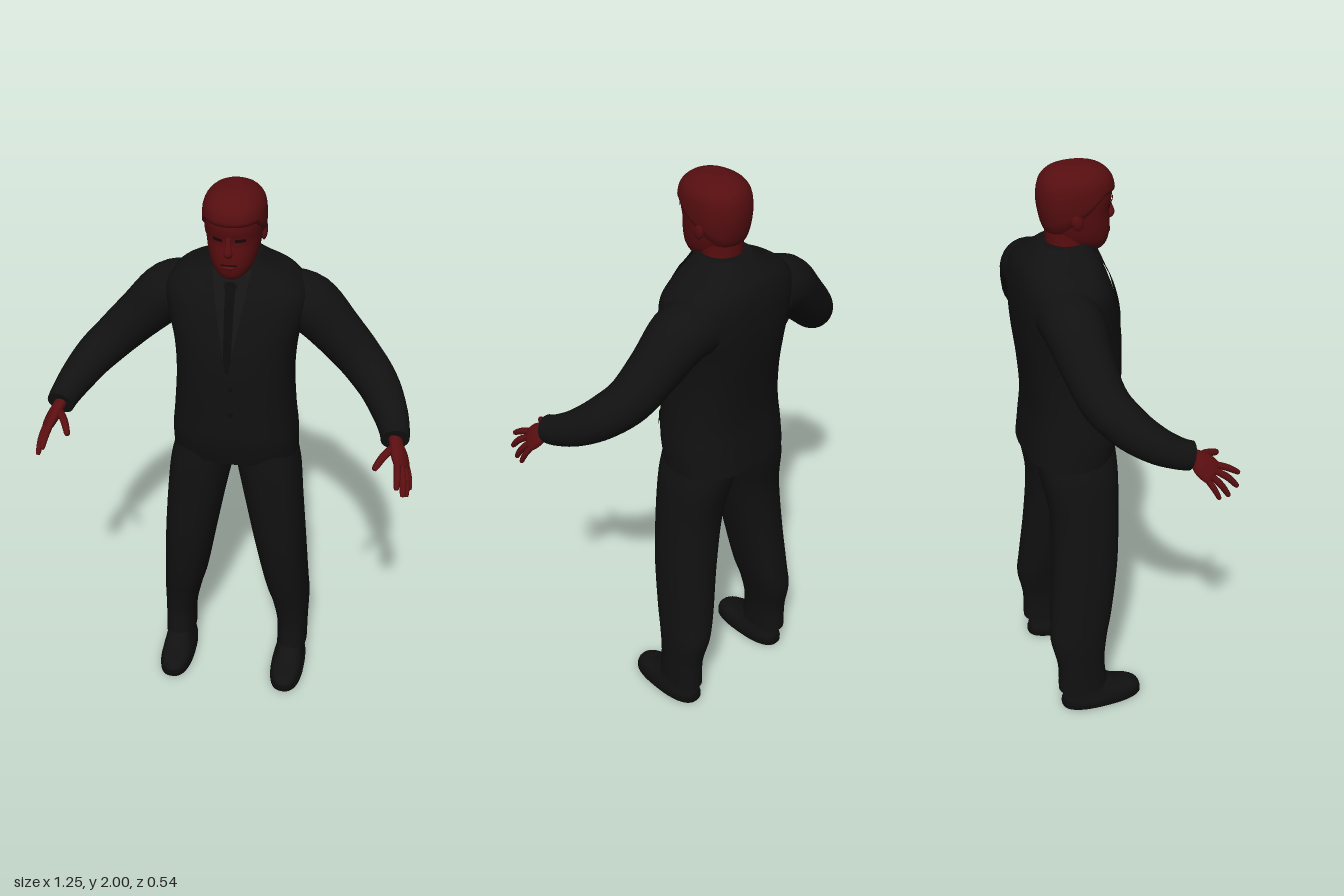
import * as THREE from 'three';

const mat = (name, color) => {
  const m = new THREE.MeshStandardMaterial({ color, side: THREE.DoubleSide });
  m.name = name;
  return m;
};
const power = (v, e) => Math.sign(v) * Math.abs(v) ** e;

// Uniform Catmull-Rom through rows of numbers, t from 0 to 1
function rowAt(rows, t) {
  const f = t * (rows.length - 1), i = Math.min(Math.floor(f), rows.length - 2), u = f - i;
  const r = k => rows[Math.max(0, Math.min(rows.length - 1, k))];
  return rows[0].map((_, c) => {
    const [a, b, d, e] = [r(i - 1)[c], r(i)[c], r(i + 1)[c], r(i + 2)[c]];
    return b + 0.5 * u * (d - a + u * (2 * a - 5 * b + 4 * d - e + u * (3 * (b - d) + e - a)));
  });
}

// Closed surface through rings of points, with separate flat end caps
function ringsToGeometry(rings, capped = true) {
  const n = rings[0].length, pos = [], idx = [];
  rings.forEach(r => r.forEach(p => pos.push(...p)));
  for (let i = 0; i < rings.length - 1; i++) for (let j = 0; j < n; j++) {
    const a = i * n + j, b = i * n + (j + 1) % n;
    idx.push(a, a + n, b, b, a + n, b + n);
  }
  if (capped) [rings[0], rings[rings.length - 1]].forEach((ring, end) => {
    const base = pos.length / 3;
    ring.forEach(p => pos.push(...p));
    pos.push(...[0, 1, 2].map(k => ring.reduce((s, p) => s + p[k], 0) / n));
    for (let j = 0; j < n; j++) {
      const k = (j + 1) % n;
      idx.push(base + n, base + (end ? k : j), base + (end ? j : k));
    }
  });
  const g = new THREE.BufferGeometry();
  g.setAttribute('position', new THREE.Float32BufferAttribute(pos, 3));
  g.setIndex(idx);
  g.computeVertexNormals();
  return g;
}

// Point on a horizontal superellipse section [y, xMin, xMax, zFront, zBack]
function sectionPoint([y, x0, x1, zf, zb], angle, n, grow = 0) {
  return [(x0 + x1) / 2 + ((x1 - x0) / 2 + grow) * power(Math.cos(angle), 2 / n), y,
    (zf + zb) / 2 + ((zf - zb) / 2 + grow) * power(Math.sin(angle), 2 / n)];
}
function loft(rows, n = 2.4, sides = 40) {
  const count = (rows.length - 1) * 5, rings = [];
  for (let i = 0; i <= count; i++) {
    const row = rowAt(rows, i / count);
    rings.push(Array.from({ length: sides }, (_, j) => sectionPoint(row, j / sides * Math.PI * 2, n)));
  }
  return ringsToGeometry(rings);
}

// Limb along rows [x, y, z, width radius, height radius]; wide gives the width direction
function sweep(rows, wide = [0, 1, 0], sides = 20) {
  const count = (rows.length - 1) * 5, rings = [];
  const at = t => new THREE.Vector3(...rowAt(rows, t));
  for (let i = 0; i <= count; i++) {
    const t = i / count, row = rowAt(rows, t);
    const T = at(Math.min(1, t + 0.01)).sub(at(Math.max(0, t - 0.01))).normalize();
    const W = new THREE.Vector3(...wide);
    W.addScaledVector(T, -W.dot(T)).normalize();
    const H = T.clone().cross(W);
    rings.push(Array.from({ length: sides }, (_, j) => {
      const a = j / sides * Math.PI * 2;
      return at(t).addScaledVector(W, row[3] * Math.cos(a)).addScaledVector(H, -row[4] * Math.sin(a)).toArray();
    }));
  }
  return ringsToGeometry(rings);
}

// Section of a lofted body at height y
function sectionAtHeight(rows, y) {
  let lo = 0, hi = 1;
  for (let k = 0; k < 30; k++) {
    const m = (lo + hi) / 2;
    if (rowAt(rows, m)[0] < y) lo = m; else hi = m;
  }
  return rowAt(rows, lo);
}

// Thin four-cornered panel laid on the front of a body; corners run anticlockwise
function panel(rows, n, corners, lift = 0.004) {
  const g = new THREE.PlaneGeometry(1, 1, 10, 14), p = g.attributes.position;
  const [a, b, c, d] = corners;
  for (let i = 0; i < p.count; i++) {
    const u = p.getX(i) + 0.5, v = p.getY(i) + 0.5;
    const [x, y] = [0, 1].map(k => (1 - v) * ((1 - u) * a[k] + u * b[k]) + v * ((1 - u) * d[k] + u * c[k]));
    const [, x0, x1, zf, zb] = sectionAtHeight(rows, y);
    const s = Math.min(0.99, Math.abs(x - (x0 + x1) / 2) / ((x1 - x0) / 2));
    p.setXYZ(i, x, y, (zf + zb) / 2 + (zf - zb) / 2 * (1 - s ** n) ** (1 / n) + lift);
  }
  g.computeVertexNormals();
  return g;
}

function mirrored(g) {
  const m = g.clone().scale(-1, 1, 1), ix = m.index;
  for (let i = 0; i < ix.count; i += 3) {
    const t = ix.getX(i);
    ix.setX(i, ix.getX(i + 1));
    ix.setX(i + 1, t);
  }
  m.computeVertexNormals();
  return m;
}

export function createModel() {
  const model = new THREE.Group();
  const suit = mat('suit black', 0x111111), shirt = mat('shirt black', 0x151515);
  const tie = mat('tie black', 0x0c0c0c), skin = mat('skin red', 0x5a0e10);
  const hair = mat('hair red', 0x560e10), dark = mat('eye dark', 0x1c0506);
  const add = (name, g, m) => {
    const mesh = new THREE.Mesh(g, m);
    mesh.name = name;
    model.add(mesh);
  };
  const pair = (name, g, m) => {
    add('left ' + name, g, m);
    add('right ' + name, mirrored(g), m);
  };

  // Jacket body
  const body = [[1.01, 0.217, 0.04, -0.262], [1.1, 0.215, 0.06, -0.253], [1.2, 0.205, 0.066, -0.245],
    [1.33, 0.197, 0.072, -0.254], [1.45, 0.204, 0.068, -0.268], [1.55, 0.226, 0.05, -0.272], [1.63, 0.232, 0.028, -0.266],
    [1.685, 0.19, 0.005, -0.25], [1.72, 0.125, -0.008, -0.222], [1.755, 0.078, -0.025, -0.185]]
    .map(([y, w, zf, zb]) => [y, -w, w, zf, zb]);
  add('jacket', loft(body, 2.5, 56), suit);

  // Shirt, tie, lapels, collar and pockets
  add('shirt front', panel(body, 2.5, [[-0.006, 1.4], [0.006, 1.4], [0.062, 1.725], [-0.062, 1.725]], 0.003), shirt);
  add('tie', panel(body, 2.5, [[-0.012, 1.4], [0.012, 1.4], [0.016, 1.665], [-0.016, 1.665]], 0.006), tie);
  add('tie knot', panel(body, 2.5, [[-0.013, 1.66], [0.013, 1.66], [0.024, 1.7], [-0.024, 1.7]], 0.009), tie);
  pair('lapel', panel(body, 2.5, [[0, 1.38], [0.012, 1.38], [0.125, 1.61], [0.05, 1.66]], 0.008), suit);
  pair('lapel top', panel(body, 2.5, [[0.047, 1.64], [0.115, 1.63], [0.092, 1.725], [0.06, 1.73]], 0.008), suit);
  pair('shirt collar', panel(body, 2.5, [[0.012, 1.695], [0.05, 1.665], [0.062, 1.735], [0.02, 1.735]], 0.009), shirt);
  pair('pocket flap', panel(body, 2.5, [[0.085, 1.115], [0.18, 1.125], [0.18, 1.165], [0.085, 1.155]], 0.007), suit);
  for (const y of [1.24, 1.34]) add('button', panel(body, 2.5,
    [[0.004, y - 0.008], [0.02, y - 0.008], [0.02, y + 0.008], [0.004, y + 0.008]], 0.007), tie);

  // Trousers
  pair('trouser leg', loft([[0.08, 0.163, 0.275, -0.03, -0.212], [0.19, 0.16, 0.275, -0.042, -0.213],
    [0.3, 0.138, 0.276, -0.03, -0.234], [0.4, 0.112, 0.27, -0.008, -0.229], [0.6, 0.075, 0.258, 0.02, -0.212],
    [0.8, 0.038, 0.243, 0.03, -0.206], [0.95, 0.008, 0.228, 0.034, -0.23], [1.06, -0.015, 0.2, 0.03, -0.238]], 2.3), suit);

  // Shoes
  pair('shoe', loft([[0.012, 0.157, 0.273, 0.093, -0.193], [0.03, 0.156, 0.274, 0.096, -0.196],
    [0.05, 0.16, 0.271, 0.075, -0.192], [0.072, 0.167, 0.267, 0.015, -0.19], [0.11, 0.172, 0.262, -0.045, -0.19]], 2.5), suit);
  pair('sole', loft([[0, 0.153, 0.278, 0.1, -0.2], [0.016, 0.153, 0.278, 0.1, -0.2]], 2.5), tie);

  // Sleeves
  pair('sleeve', sweep([[0.16, 1.575, -0.148, 0.1], [0.235, 1.56, -0.146, 0.098], [0.325, 1.478, -0.135, 0.085],
    [0.41, 1.395, -0.112, 0.076], [0.478, 1.335, -0.06, 0.069], [0.525, 1.285, 0.01, 0.059],
    [0.55, 1.255, 0.075, 0.05], [0.557, 1.243, 0.115, 0.046]].map(r => [...r, r[3]]), [0, 1, 0], 28), suit);

  // Hands
  const across = [-0.5, 0.5, 0.7];
  pair('palm', sweep([[0.55, 1.255, 0.08, 0.027, 0.022], [0.562, 1.235, 0.125, 0.028, 0.02],
    [0.575, 1.212, 0.15, 0.04, 0.02], [0.588, 1.188, 0.172, 0.04, 0.016], [0.592, 1.178, 0.182, 0.03, 0.008]], across), skin);
  const fingers = [
    ['thumb', [0.557, 1.23, 0.135], [0.527, 1.218, 0.18], [0.503, 1.198, 0.228], 0.013],
    ['index finger', [0.573, 1.205, 0.185], [0.578, 1.187, 0.228], [0.581, 1.16, 0.27], 0.011],
    ['middle finger', [0.585, 1.195, 0.178], [0.597, 1.165, 0.222], [0.602, 1.125, 0.257], 0.011],
    ['ring finger', [0.595, 1.185, 0.165], [0.608, 1.147, 0.198], [0.613, 1.103, 0.225], 0.0105],
    ['little finger', [0.6, 1.178, 0.15], [0.614, 1.143, 0.172], [0.621, 1.105, 0.19], 0.0095]];
  for (const [name, a, b, c, r] of fingers) {
    const tip = c.map((v, k) => v - (c[k] - b[k]) * 0.12);
    pair(name, sweep([[...a, r, r], [...b, r, r], [...tip, r * 0.75, r * 0.75], [...c, r * 0.2, r * 0.2]], across, 12), skin);
  }

  // Neck and head
  add('neck', loft([[1.66, -0.075, 0.075, -0.025, -0.17], [1.74, -0.068, 0.068, -0.025, -0.16],
    [1.83, -0.07, 0.07, -0.02, -0.165]], 2), skin);
  const skull = [[1.712, 0.025, 0.012, -0.04], [1.728, 0.046, 0.032, -0.085], [1.76, 0.068, 0.043, -0.13],
    [1.8, 0.08, 0.046, -0.158], [1.85, 0.088, 0.043, -0.172], [1.9, 0.091, 0.052, -0.177],
    [1.95, 0.085, 0.044, -0.168], [1.98, 0.06, 0.015, -0.14], [1.994, 0.02, -0.03, -0.095]]
    .map(([y, w, zf, zb]) => [y, -w, w, zf, zb]);
  add('head', loft(skull, 2.2, 44), skin);

  // Hair: a cap whose lower edge drops from the brow to the nape
  const hairRings = [];
  for (let i = 0; i <= 16; i++) hairRings.push(Array.from({ length: 44 }, (_, j) => {
    const a = j / 44 * Math.PI * 2, s = Math.sin(a);
    const bottom = s > 0 ? 1.85 + 0.06 * Math.min(1, s * 1.8) : 1.85 + 0.075 * s;
    const y = bottom + (1.994 - bottom) * Math.sin(i / 16 * Math.PI / 2);
    const p = sectionPoint(sectionAtHeight(skull, y), a, 2.2, i ? 0.009 : 0.001);
    p[1] += 0.006 * (i / 16) ** 2;
    return p;
  }));
  add('hair', ringsToGeometry(hairRings), hair);

  // Face
  add('nose', sweep([[0, 1.872, 0.042, 0.007, 0.007], [0, 1.845, 0.05, 0.009, 0.009],
    [0, 1.822, 0.054, 0.014, 0.012], [0, 1.808, 0.046, 0.01, 0.006]], [1, 0, 0], 16), skin);
  pair('eye', panel(skull, 2.2, [[0.019, 1.856], [0.052, 1.856], [0.05, 1.868], [0.021, 1.867]], 0.002), dark);
  pair('eyebrow', panel(skull, 2.2, [[0.014, 1.876], [0.06, 1.878], [0.056, 1.888], [0.014, 1.885]], 0.005), hair);
  add('mouth', panel(skull, 2.2, [[-0.026, 1.775], [0.026, 1.775], [0.024, 1.78], [-0.024, 1.78]], 0.002), dark);
  add('lower lip', new THREE.SphereGeometry(1, 16, 10).scale(0.02, 0.007, 0.008).translate(0, 1.768, 0.042), skin);
  pair('ear', new THREE.SphereGeometry(1, 16, 12).scale(0.011, 0.032, 0.02).rotateX(-0.2).translate(0.089, 1.845, -0.085), skin);
  return model;
}
